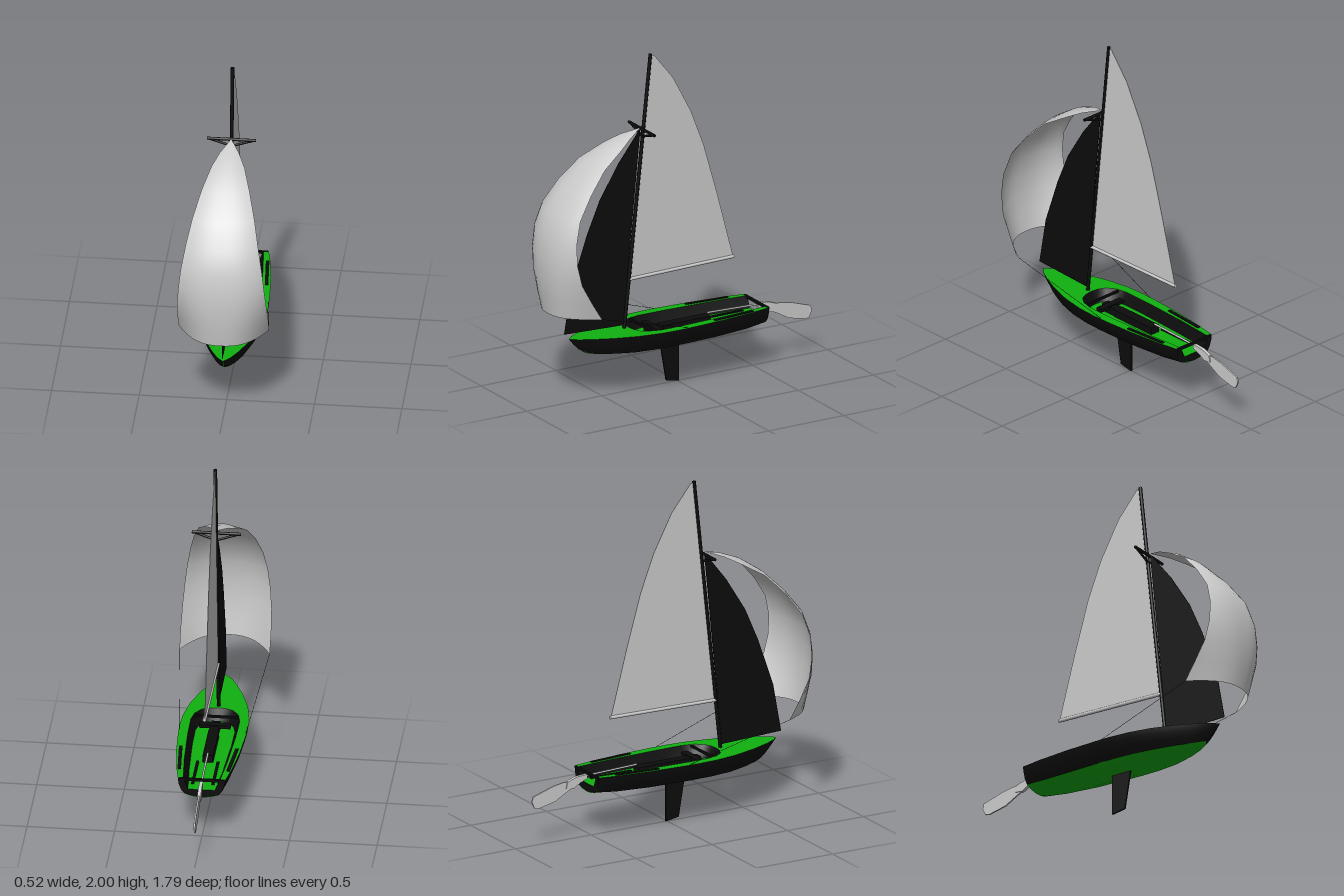
import * as THREE from 'three';

const paint = (color) => new THREE.MeshStandardMaterial({ color, side: THREE.DoubleSide });
const V = (p) => new THREE.Vector3(...p);

export function createModel() {
  const boat = new THREE.Group();
  const black = paint(0x0c0c0c), green = paint(0x10b010), grey = paint(0xcccccc);

  const add = (name, geometry, material) => {
    const mesh = new THREE.Mesh(geometry, material);
    mesh.name = name;
    boat.add(mesh);
    return mesh;
  };
  const box = (name, size, pos, material, turn = 0) => {
    const mesh = add(name, new THREE.BoxGeometry(...size), material);
    mesh.position.set(...pos);
    mesh.rotation.y = turn;
    return mesh;
  };
  // Round bar between two points
  const rod = (name, a, b, r, material, sides = 8) => {
    const from = V(a), dir = V(b).sub(from);
    const mesh = add(name, new THREE.CylinderGeometry(r, r, dir.length(), sides), material);
    mesh.position.copy(from).addScaledVector(dir, 0.5);
    mesh.quaternion.setFromUnitVectors(new THREE.Vector3(0, 1, 0), dir.normalize());
    return mesh;
  };
  // Surface through rows of equally many points
  const loft = (rows) => {
    const n = rows[0].length, index = [];
    for (let i = 0; i < rows.length - 1; i++) {
      for (let j = 0; j < n - 1; j++) {
        const a = i * n + j, b = a + n;
        index.push(a, b, a + 1, b, b + 1, a + 1);
      }
    }
    const g = new THREE.BufferGeometry();
    g.setAttribute('position', new THREE.Float32BufferAttribute(rows.flat(2), 3));
    g.setIndex(index);
    g.computeVertexNormals();
    return g;
  };
  const shape = (pts) => new THREE.Shape(pts.map(([x, y]) => new THREE.Vector2(x, y)));
  // Outline in (z, y), given a thickness along x
  const plate = (name, pts, thick, material) => {
    const g = new THREE.ExtrudeGeometry(shape(pts), { depth: thick, bevelEnabled: false });
    return add(name, g.translate(0, 0, -thick / 2).rotateY(-Math.PI / 2), material);
  };
  // Outline in (x, z), laid flat at a height
  const flat = (name, pts, y, material) =>
    add(name, new THREE.ShapeGeometry(shape(pts)).rotateX(Math.PI / 2).translate(0, y, 0), material);
  const mirror = (half) => [...half, ...half.slice().reverse().filter(([x]) => x > 0).map(([x, z]) => [-x, z])];

  // Hull stations: z, gunwale half width, bow rake, chine height, keel height
  const stations = [
    [-0.53, 0.135, 0, 0.285, 0.265], [-0.4, 0.158, 0, 0.275, 0.257], [-0.2, 0.181, 0, 0.27, 0.247],
    [0, 0.193, 0, 0.27, 0.24], [0.1, 0.196, 0, 0.27, 0.241], [0.22, 0.19, 0, 0.27, 0.245],
    [0.36, 0.166, 0.01, 0.27, 0.25], [0.5, 0.122, 0.03, 0.275, 0.258], [0.61, 0.075, 0.055, 0.28, 0.268],
    [0.68, 0.038, 0.075, 0.287, 0.278], [0.72, 0.001, 0.09, 0.295, 0.29],
  ];
  const deckY = 0.382, floorY = 0.315;
  for (const [side, s] of [['left', 1], ['right', -1]]) {
    add(side + 'Topside', loft(stations.map(([z, w, rake, yc]) => [
      [s * w, deckY, z], [s * w * 0.97, 0.348, z - rake * 0.3],
      [s * w * 0.87, 0.31, z - rake * 0.7], [s * w * 0.72, yc, z - rake]])), black);
  }
  add('hullBottom', loft(stations.map(([z, w, rake, yc, yk]) => [
    [w * 0.72, yc, z - rake], [w * 0.4, yk + (yc - yk) * 0.25, z - rake], [0, yk, z - rake],
    [-w * 0.4, yk + (yc - yk) * 0.25, z - rake], [-w * 0.72, yc, z - rake]])), green);

  // Cockpit: sloping walls between a rim and a floor outline, open at the stern
  const rim = mirror([[0.105, -0.53], [0.124, -0.3], [0.138, 0], [0.14, 0.18], [0.125, 0.25],
    [0.09, 0.3], [0.045, 0.32], [0, 0.325]]);
  const foot = mirror([[0.077, -0.53], [0.096, -0.3], [0.111, 0], [0.113, 0.17], [0.1, 0.225],
    [0.07, 0.267], [0.035, 0.286], [0, 0.29]]);
  const outline = stations.map(([z, w]) => [w, z]);
  flat('deck', [...outline, ...outline.slice().reverse().map(([x, z]) => [-x, z]), ...rim.slice().reverse()],
    deckY, green);
  add('cockpitWall', loft([rim.map(([x, z]) => [x, deckY, z]), foot.map(([x, z]) => [x, floorY, z])]), black);
  flat('cockpitFloor', foot, floorY, green);
  const transom = shape([[0.135, deckY], [0.131, 0.348], [0.117, 0.31], [0.097, 0.285], [0, 0.265], [-0.097, 0.285],
    [-0.117, 0.31], [-0.131, 0.348], [-0.135, deckY], [-0.105, deckY], [-0.077, floorY], [0.077, floorY], [0.105, deckY]]);
  add('transom', new THREE.ShapeGeometry(transom).translate(0, 0, -0.53), black);
  box('transomBar', [0.26, 0.014, 0.016], [0, 0.376, -0.527], black);

  // Grip strips, centreboard case and thwarts
  for (const s of [1, -1]) {
    box('sideGrip', [0.02, 0.006, 0.27], [s * 0.15, deckY + 0.001, -0.285], black, s * 0.08);
    box('floorGrip', [0.016, 0.008, 0.27], [s * 0.058, floorY + 0.003, -0.335], black);
  }
  box('centreboardCase', [0.06, 0.045, 0.31], [0, 0.337, -0.05], black);
  box('caseFront', [0.05, 0.045, 0.12], [0, 0.337, 0.15], black);
  box('thwart', [0.18, 0.02, 0.04], [0, 0.355, 0.165], black);
  box('crossBar', [0.27, 0.012, 0.014], [0, 0.374, 0.235], black);
  plate('centreboard', [[0.115, 0.25], [0.075, 0.015], [-0.01, 0], [-0.01, 0.25]], 0.01, black);

  // Mast, spreaders and boom
  rod('mast', [0, 0.38, 0.352], [0, 2, 0.178], 0.0105, black, 12);
  rod('boom', [0, 0.67, 0.32], [0, 0.68, -0.375], 0.0105, grey, 10);
  rod('spreader', [-0.14, 1.56, 0.235], [0.14, 1.56, 0.235], 0.009, black);
  for (const s of [1, -1]) rod('spreaderBrace', [s * 0.125, 1.558, 0.235], [0, 1.515, 0.232], 0.007, black);

  // Flat sails
  plate('mainsail', [[0.175, 1.995], [0.155, 1.99], [0.03, 1.835], [-0.09, 1.61], [-0.175, 1.39],
    [-0.265, 1.08], [-0.37, 0.685], [0.315, 0.675]], 0.003, grey);
  plate('jib', [[0.245, 1.565], [0.39, 1.38], [0.515, 1.18], [0.6, 0.985], [0.7, 0.7], [0.752, 0.415],
    [0.36, 0.4]], 0.003, black);

  // Spinnaker rows: height, half width, z at the middle, z at the edges
  const rows = [
    [1.568, 0.002, 0.25, 0.248], [1.535, 0.055, 0.37, 0.345], [1.49, 0.095, 0.48, 0.43], [1.41, 0.138, 0.6, 0.565],
    [1.29, 0.178, 0.725, 0.68], [1.16, 0.208, 0.83, 0.77], [1.03, 0.231, 0.877, 0.808], [0.91, 0.245, 0.893, 0.81],
    [0.79, 0.255, 0.895, 0.785], [0.67, 0.259, 0.88, 0.72], [0.565, 0.258, 0.862, 0.655],
  ];
  add('spinnaker', loft(rows.map(([y, w, zm, ze]) => Array.from({ length: 17 }, (_, j) => {
    const t = (j - 8) / 8;
    return [w * t, y, zm - (zm - ze) * Math.abs(t) ** 2.5];
  }))), grey);
  for (const s of [1, -1]) {
    rod('spinnakerSheet', [s * 0.257, 0.566, 0.655], [s * 0.19, 0.384, 0.04], 0.0012, black, 5);
  }

  // Raised rudder and tiller
  plate('rudderHead', [[-0.53, 0.37], [-0.6, 0.365], [-0.66, 0.345], [-0.67, 0.305], [-0.62, 0.3],
    [-0.58, 0.325], [-0.53, 0.345]], 0.02, grey);
  plate('rudderBlade', [[-0.6, 0.335], [-0.68, 0.345], [-0.75, 0.333], [-0.885, 0.29], [-0.893, 0.26],
    [-0.875, 0.22], [-0.85, 0.215], [-0.74, 0.24], [-0.66, 0.285], [-0.6, 0.315]], 0.009, grey);
  rod('tiller', [0, 0.372, -0.2], [0, 0.358, -0.6], 0.006, grey);
  return boat;
}
